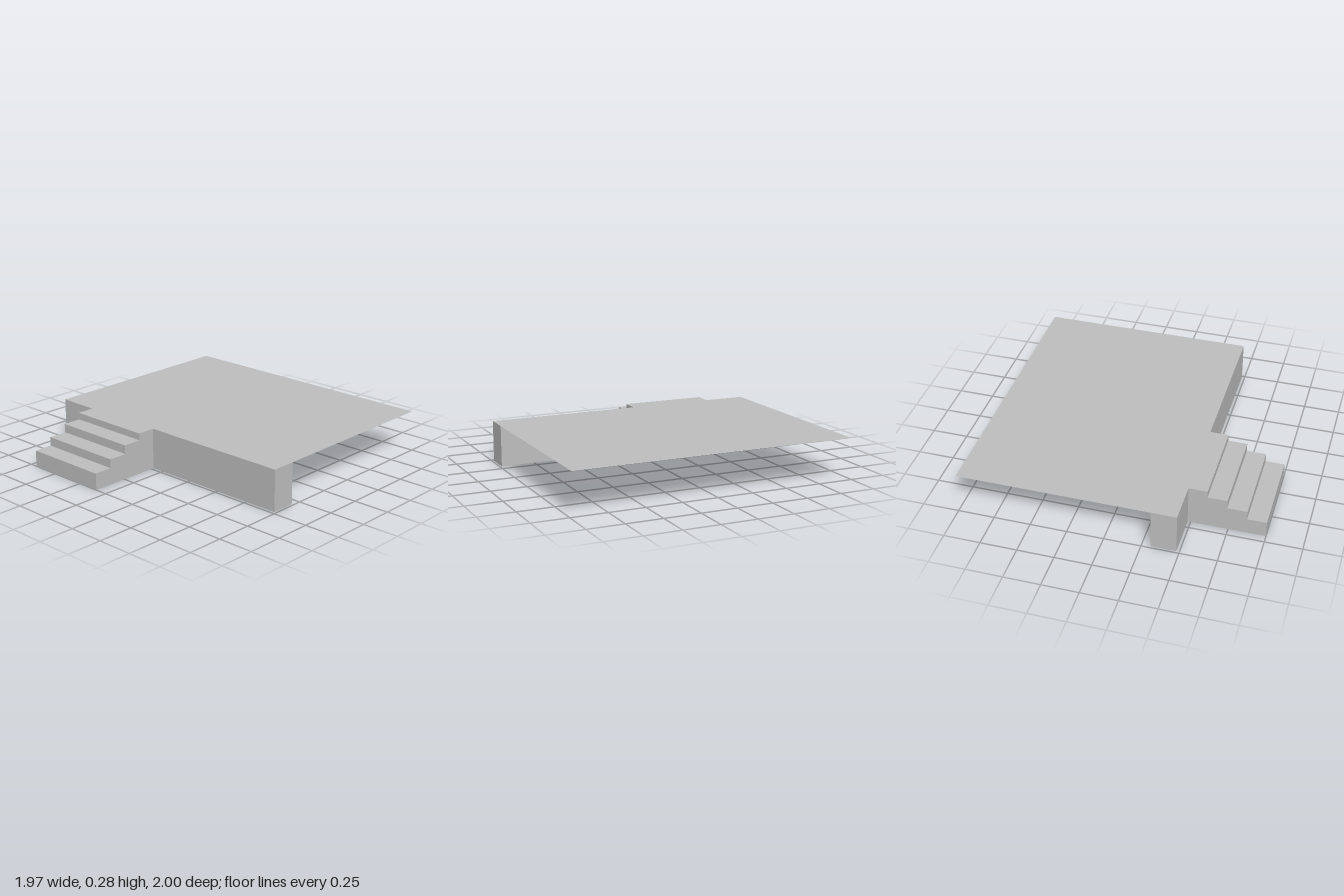
import * as THREE from 'three';

// Box shell keeping only the listed faces (0 +x, 1 -x, 2 +y, 3 -y, 4 +z, 5 -z)
function shell(name, [x0, x1], [y0, y1], [z0, z1], faces, material) {
  const geometry = new THREE.BoxGeometry(x1 - x0, y1 - y0, z1 - z0);
  const index = Array.from(geometry.index.array);
  geometry.setIndex(faces.flatMap((f) => index.slice(f * 6, f * 6 + 6)));
  geometry.clearGroups();
  geometry.translate((x0 + x1) / 2, (y0 + y1) / 2, (z0 + z1) / 2);
  const mesh = new THREE.Mesh(geometry, material);
  mesh.name = name;
  return mesh;
}

export function createModel() {
  const model = new THREE.Group();
  model.name = 'porchDeck';
  const grey = new THREE.MeshStandardMaterial({ color: 0xbebebe, side: THREE.DoubleSide });
  grey.name = 'plain grey';

  const height = 0.285;
  const halfWidth = 0.985;
  const deckFront = 0.48;

  // Thin deck surface, overhanging to the back
  const deck = new THREE.Mesh(new THREE.PlaneGeometry(halfWidth * 2, deckFront + 1), grey);
  deck.name = 'deckSurface';
  deck.rotation.x = -Math.PI / 2;
  deck.position.set(0, height, (deckFront - 1) / 2);
  model.add(deck);

  // Hollow foundation wall under the front edge, open at the bottom
  model.add(shell('foundationWall', [-halfWidth, halfWidth], [0, height], [0.31, deckFront], [0, 1, 4, 5], grey));

  // Hollow steps; each riser runs down to the ground
  const stairs = new THREE.Group();
  stairs.name = 'stairs';
  const stepTops = [0.115, 0.177, 0.237, height];
  const stepEdges = [1, 0.87, 0.737, 0.606, deckFront];
  stepTops.forEach((top, i) => {
    stairs.add(shell(`step${i + 1}`, [-0.694, -0.088], [0, top], [stepEdges[i + 1], stepEdges[i]], [0, 1, 2, 4], grey));
  });
  model.add(stairs);

  return model;
}
